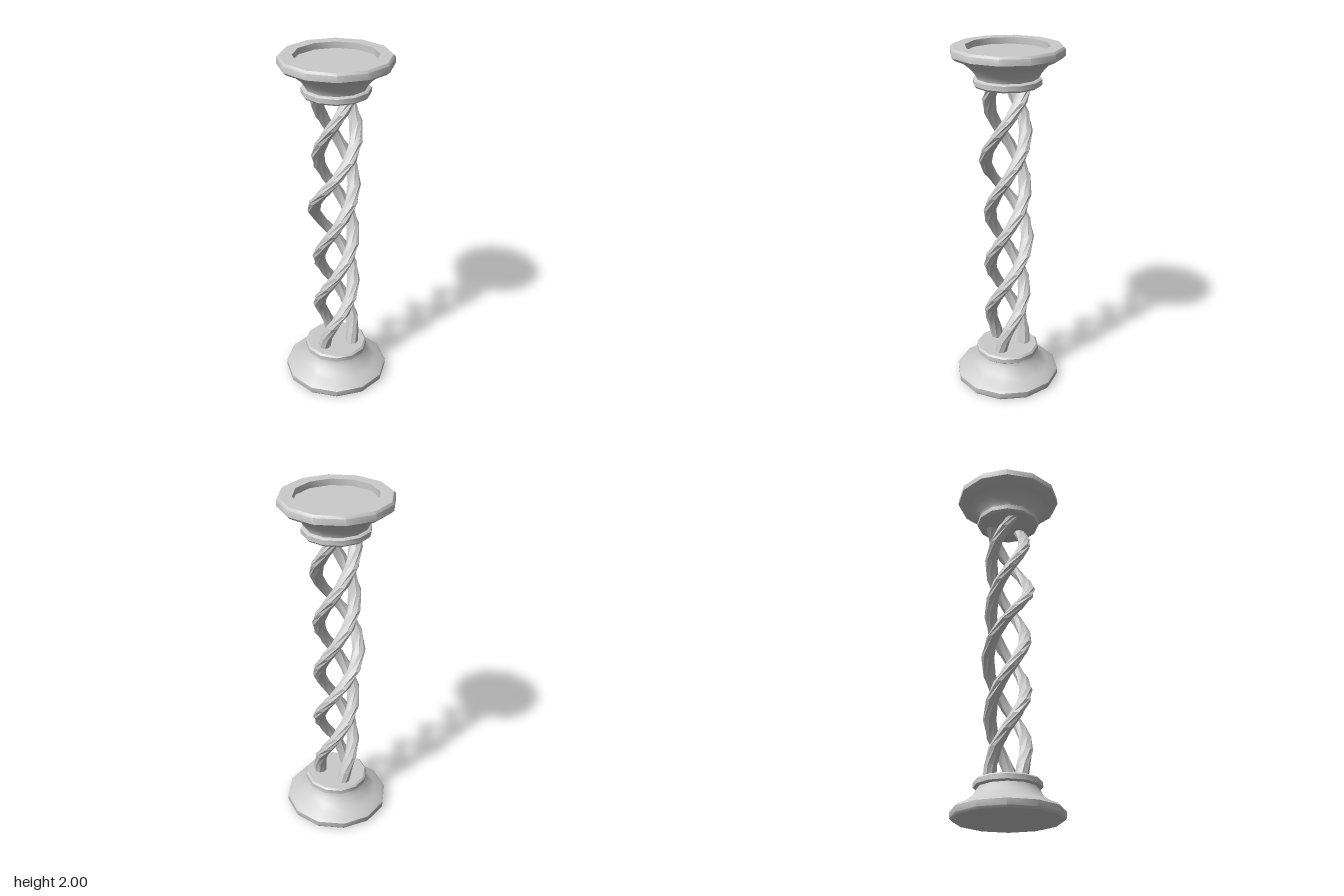
import * as THREE from 'three';
import { toCreasedNormals } from 'three/addons/utils/BufferGeometryUtils.js';

const material = new THREE.MeshStandardMaterial({ color: 0xcccccc });
const SIDES = 12;

function addMesh(parent, name, geometry) {
  const mesh = new THREE.Mesh(toCreasedNormals(geometry, 0.75), material);
  mesh.name = name;
  parent.add(mesh);
}

const lathe = (points) =>
  new THREE.LatheGeometry(points.map(([r, y]) => new THREE.Vector2(r, y)), SIDES);

// Flared outline shared by the foot and, upside down, by the dish
const flare = [
  [0.293, 0], [0.304, 0.012], [0.305, 0.045], [0.288, 0.06],
  [0.245, 0.078], [0.21, 0.105], [0.182, 0.138], [0.166, 0.168],
];
const collar = [[0.175, 0.166], [0.185, 0.174], [0.185, 0.2], [0.175, 0.21], [0, 0.21]];
const flip = (points) => points.map(([r, y]) => [r, 2 - y]).reverse();

// Twist angle at a height: slow at the foot, then an even helix
function twist(y) {
  const turn = (2 * Math.PI) / 0.955;
  return y > 0.32 ? (y - 0.32) * turn : (y - 0.32) * turn * 0.35;
}

// Upright rod whose level rings are carried around the axis
function strandGeometry(phase, bulge) {
  const bottom = 0.19, top = 1.81, rod = 0.037;
  const geometry = new THREE.CylinderGeometry(rod, rod, top - bottom, 8, 18);
  geometry.translate(0, (top + bottom) / 2, 0);
  const pos = geometry.attributes.position;
  for (let i = 0; i < pos.count; i++) {
    const y = pos.getY(i);
    const angle = twist(y) + phase;
    const r = 0.1 + bulge * Math.exp(-(((y - 1.2) / 0.38) ** 2));
    const x = pos.getX(i), z = pos.getZ(i) + r;
    pos.setXYZ(
      i,
      x * Math.cos(angle) + z * Math.sin(angle),
      y,
      z * Math.cos(angle) - x * Math.sin(angle),
    );
  }
  return geometry;
}

export function createModel() {
  const group = new THREE.Group();
  group.name = 'twistedCandleStand';

  // Foot and its collar
  addMesh(group, 'foot', lathe([[0, 0], ...flare, [0.166, 0.19]]));
  addMesh(group, 'footCollar', lathe([[0.15, 0.166], ...collar]));

  // Dish with a recessed floor, and its collar
  const recess = [[0.225, 2], [0.225, 1.965], [0, 1.965]];
  addMesh(group, 'dish', lathe([[0.166, 1.81], ...flip(flare), ...recess]));
  addMesh(group, 'dishCollar', lathe([...flip(collar), [0.15, 1.834]]));

  // Three intertwined strands, one swelling outward at mid height
  for (let i = 0; i < 3; i++) {
    addMesh(group, `strand${i + 1}`, strandGeometry((i * 2 * Math.PI) / 3, i === 0 ? 0.028 : 0));
  }
  return group;
}
